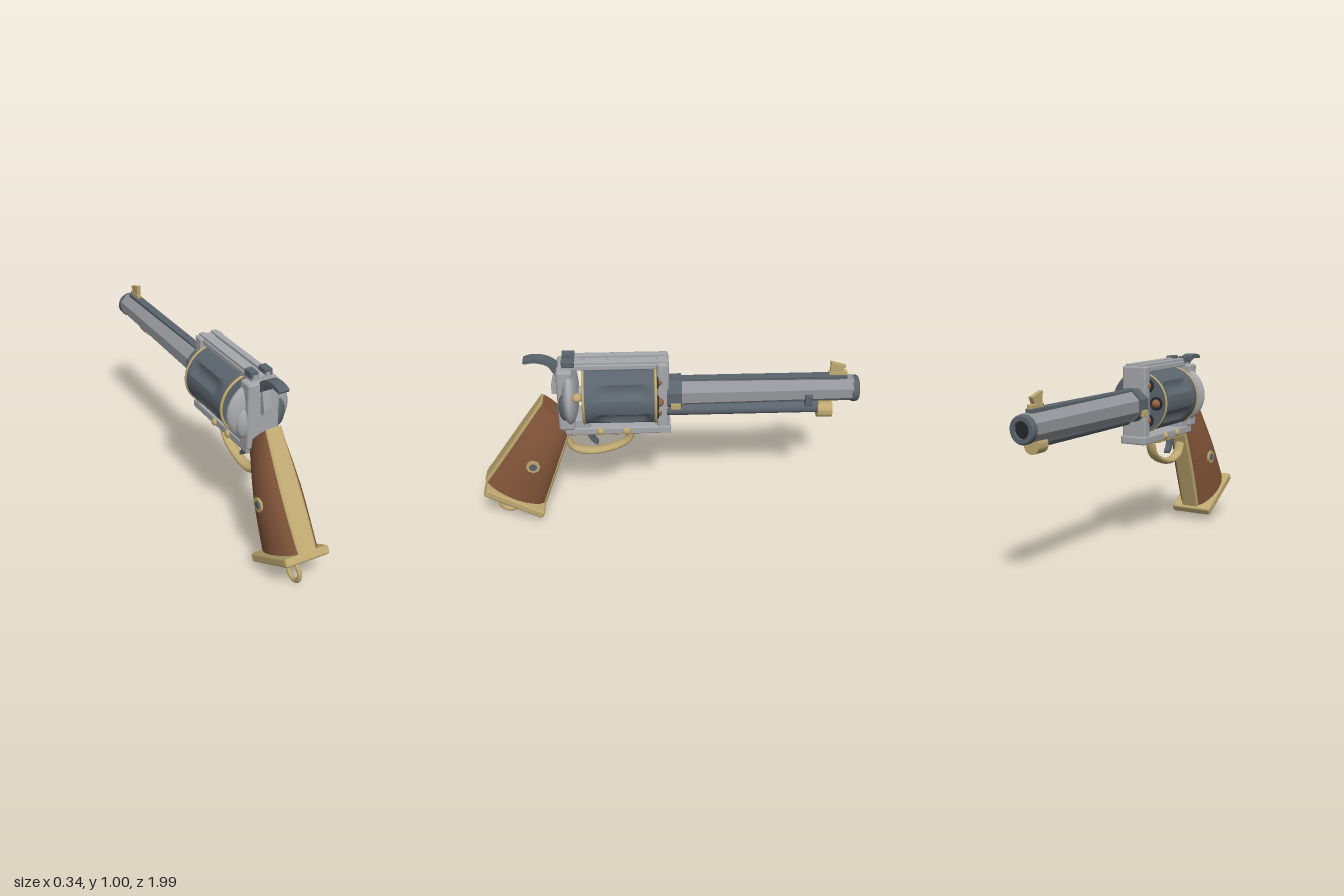
import * as THREE from 'three';
import { toCreasedNormals } from 'three/addons/utils/BufferGeometryUtils.js';
import { RoundedBoxGeometry } from 'three/addons/geometries/RoundedBoxGeometry.js';

const mat = (name, color) => Object.assign(new THREE.MeshStandardMaterial({ color }), { name });

export function createModel() {
  const steel = mat('light steel', 0xa6a8ac);
  const barrelSteel = mat('barrel steel', 0x94969b);
  const gunmetal = mat('gunmetal', 0x5b646d);
  const brass = mat('brass', 0xbfa971);
  const wood = mat('walnut', 0x83563a);
  const copper = mat('copper', 0x94603f);
  const black = mat('bore black', 0x25282c);
  const model = new THREE.Group();
  model.name = 'revolver';

  const add = (name, geo, material, x = 0, y = 0, z = 0) => {
    const m = new THREE.Mesh(geo, material);
    m.name = name;
    m.position.set(x, y, z);
    model.add(m);
    return m;
  };
  // Chamfered box given by its limits
  const box = (name, material, [x0, x1], [y0, y1], [z0, z1], r = 0.006) =>
    add(name, new RoundedBoxGeometry(x1 - x0, y1 - y0, z1 - z0, 1, r), material,
      (x0 + x1) / 2, (y0 + y1) / 2, (z0 + z1) / 2);
  // Cylinder along z, from zBack (radius r0) to zFront (radius r1)
  const rodZ = (name, material, r0, r1, zBack, zFront, x, y, sides = 24) => {
    const g = new THREE.CylinderGeometry(r1, r0, zBack - zFront, sides);
    g.rotateY(Math.PI / sides).rotateX(-Math.PI / 2);
    return add(name, toCreasedNormals(g, 0.7), material, x, y, (zBack + zFront) / 2);
  };
  const rodX = (name, material, r, len, x, y, z, sides = 16) =>
    add(name, new THREE.CylinderGeometry(r, r, len, sides).rotateZ(Math.PI / 2), material, x, y, z);
  const ball = (name, material, rx, ry, rz, x, y, z) =>
    add(name, new THREE.SphereGeometry(1, 32, 20).scale(rx, ry, rz), material, x, y, z);
  // Side outline of [z, y] points, extruded across x
  const slab = (name, material, pts, width, smooth = false) => {
    const v = pts.map(([z, y]) => new THREE.Vector2(z, y));
    const shape = smooth ? new THREE.Shape().moveTo(v[0].x, v[0].y).splineThru(v.slice(1)) : new THREE.Shape(v);
    const g = new THREE.ExtrudeGeometry(shape, { depth: width, bevelEnabled: false });
    g.rotateY(-Math.PI / 2).translate(width / 2, 0, 0);
    return add(name, toCreasedNormals(g, 0.7), material);
  };
  // Skin over closed rings of [x, y, z] points, capped at both ends
  const loft = (rings, crease = 0.7) => {
    const n = rings[0].length, pos = rings.flat(2), idx = [];
    for (let r = 0; r < rings.length - 1; r++)
      for (let i = 0; i < n; i++) {
        const a = r * n + i, b = r * n + (i + 1) % n;
        idx.push(a, b, a + n, b, b + n, a + n);
      }
    [0, rings.length - 1].forEach((r) => {
      const c = pos.length / 3;
      for (let k = 0; k < 3; k++) pos.push(rings[r].reduce((s, p) => s + p[k], 0) / n);
      for (let i = 0; i < n; i++) {
        const a = r * n + i, b = r * n + (i + 1) % n;
        idx.push(...(r ? [c, a, b] : [c, b, a]));
      }
    });
    // Turn the faces outward if the rings ran the other way
    const p = (i) => new THREE.Vector3(pos[3 * i], pos[3 * i + 1], pos[3 * i + 2]);
    let vol = 0;
    for (let i = 0; i < idx.length; i += 3) vol += p(idx[i]).dot(p(idx[i + 1]).cross(p(idx[i + 2])));
    if (vol < 0) idx.reverse();
    const g = new THREE.BufferGeometry();
    g.setAttribute('position', new THREE.Float32BufferAttribute(pos, 3));
    g.setIndex(idx);
    return toCreasedNormals(g, crease);
  };

  // Barrel, rib, muzzle and rear collar
  const by = 0.778;
  rodZ('barrel', barrelSteel, 0.08, 0.068, 0, -0.97, 0, by, 8);
  rodZ('barrelCollar', gunmetal, 0.092, 0.092, 0, -0.078, 0, by, 8);
  box('barrelRib', gunmetal, [-0.022, 0.022], [0.82, 0.862], [-0.935, 0], 0.004);
  const ring = [[0.042, -0.02], [0.062, -0.02], [0.068, -0.013], [0.068, 0.013], [0.062, 0.02], [0.042, 0.02], [0.042, -0.02]];
  add('muzzleRing', toCreasedNormals(new THREE.LatheGeometry(ring.map((p) => new THREE.Vector2(...p)), 32)
    .rotateX(-Math.PI / 2), 0.6), gunmetal, 0, 0.773, -0.98);
  rodZ('bore', black, 0.043, 0.043, -0.96, -0.985, 0, 0.773);

  // Front sight
  box('frontSightBase', brass, [-0.013, 0.013], [0.84, 0.88], [-0.935, -0.84], 0.003);
  slab('frontSightBlade', brass, [[-0.848, 0.875], [-0.845, 0.936], [-0.925, 0.912], [-0.905, 0.875]], 0.022);

  // Ejector tube beside the barrel
  rodZ('ejectorTube', gunmetal, 0.032, 0.032, 0, -0.79, 0.045, 0.695);
  rodZ('ejectorCap', brass, 0.043, 0.043, -0.785, -0.862, 0.047, 0.679);
  box('ejectorLatch', gunmetal, [0.05, 0.082], [0.71, 0.78], [-0.755, -0.715]);
  for (const s of [-1, 1]) box('collarPin', brass, [s * 0.085 - 0.01, s * 0.085 + 0.01], [0.722, 0.756], [-0.072, -0.02], 0.004);

  // Frame: top strap, front post, bottom rail, rear block
  box('topStrap', steel, [-0.056, 0.056], [0.945, 0.975], [-0.01, 0.53]);
  for (const s of [-1, 1]) {
    box('strapRail', steel, [s * 0.034 - 0.016, s * 0.034 + 0.016], [0.965, 0.99], [-0.005, 0.53], 0.004);
    box('rearSight', gunmetal, [s * 0.038 - 0.021, s * 0.038 + 0.021], [0.965, 1], [0.465, 0.53], 0.004);
  }
  box('frontPost', steel, [-0.07, 0.07], [0.565, 0.98], [-0.012, 0.05], 0.012);
  box('bottomRail', steel, [-0.075, 0.075], [0.562, 0.605], [-0.022, 0.53], 0.008);
  box('lowerRearFrame', steel, [-0.07, 0.07], [0.58, 0.655], [0.4, 0.54], 0.008);
  box('rearFrame', steel, [-0.088, 0.088], [0.6, 0.955], [0.475, 0.56], 0.014);
  for (const z of [0.21, 0.345]) for (const s of [-1, 1]) ball('frameScrew', brass, 0.014, 0.02, 0.02, s * 0.076, 0.583, z);

  // Recoil shield, gate and its catch
  ball('recoilShield', steel, 0.17, 0.163, 0.047, 0, 0.782, 0.497);
  ball('loadingGate', gunmetal, 0.042, 0.08, 0.032, 0.094, 0.755, 0.522);
  ball('shieldBoss', steel, 0.04, 0.08, 0.032, -0.092, 0.74, 0.522);
  ball('gateCatch', brass, 0.025, 0.025, 0.025, 0.132, 0.833, 0.455);

  // Fluted cylinder with six chambers
  const cy = 0.78;
  const smooth = (a, b, t) => THREE.MathUtils.smoothstep(t, a, b);
  const drum = [];
  for (let j = 0; j <= 20; j++) {
    const z = 0.05 + 0.38 * j / 20, depth = 0.022 * smooth(0.07, 0.13, z) * (1 - smooth(0.3, 0.39, z));
    drum.push(Array.from({ length: 96 }, (_, i) => {
      const a = i / 96 * Math.PI * 2;
      const r = 0.16 - depth * Math.max(0, -Math.cos(6 * a)) ** 0.8;
      return [r * Math.cos(a), cy + r * Math.sin(a), z];
    }));
  }
  add('cylinder', loft(drum), gunmetal);
  for (const z of [0.058, 0.425]) add('cylinderBand', new THREE.TorusGeometry(0.159, 0.0075, 8, 64), brass, 0, cy, z);
  for (let i = 0; i < 6; i++) {
    const a = i * Math.PI / 3, x = 0.107 * Math.cos(a), y = cy + 0.107 * Math.sin(a);
    rodZ('chamber', black, 0.036, 0.036, 0.055, 0.042, x, y);
    ball('bullet', copper, 0.025, 0.025, 0.032, x, y, 0.048);
  }
  rodZ('cylinderPin', steel, 0.035, 0.035, 0.5, 0, 0, cy);

  // Hammer
  slab('hammerSpur', gunmetal, [[0.72, 0.972], [0.722, 0.987], [0.68, 1], [0.625, 0.997], [0.575, 0.975], [0.535, 0.93],
    [0.545, 0.9], [0.572, 0.915], [0.6, 0.957], [0.64, 0.974], [0.68, 0.978]], 0.056, true);
  slab('hammerBody', steel, [[0.55, 0.79], [0.59, 0.79], [0.592, 0.83], [0.572, 0.92], [0.55, 0.92]], 0.044);

  // Trigger and guard
  box('guardPlate', brass, [-0.055, 0.055], [0.546, 0.565], [0.17, 0.51], 0.004);
  const path = [[0.178, 0.555], [0.182, 0.525], [0.208, 0.475], [0.29, 0.43], [0.41, 0.408], [0.495, 0.433], [0.53, 0.49]];
  const curve = new THREE.CatmullRomCurve3(path.map(([z, y]) => new THREE.Vector3(0, y, z)));
  add('triggerGuard', new THREE.TubeGeometry(curve, 40, 0.018, 12).scale(1.6, 1, 1), brass);
  slab('trigger', gunmetal, [[0.425, 0.56], [0.42, 0.52], [0.395, 0.475], [0.37, 0.455], [0.363, 0.468], [0.383, 0.5], [0.392, 0.56]], 0.032, true);

  // Grip: swelling wood between two brass straps
  const back = (t) => [0.64 + 0.335 * t, 0.745 - 0.5 * t];
  const front = (t) => [0.505 + 0.175 * t, 0.6 - 0.51 * t];
  const strapW = (t) => 0.043 + 0.012 * Math.sin(Math.PI * Math.min(1, t * 0.75));
  const steps = Array.from({ length: 11 }, (_, i) => i / 10);
  add('gripWood', loft(steps.map((t) => {
    const [bz, byy] = back(t), [fz, fy] = front(t), s = strapW(t);
    const w = 0.062 + 0.049 * Math.sin(Math.min(1, t * 1.5) * Math.PI / 2);
    const half = Array.from({ length: 15 }, (_, i) => i / 14).map((u) =>
      [s + (w - s) * Math.sin(Math.PI * u) ** 0.65, byy + (fy - byy) * u, bz + (fz - bz) * u]);
    return [...half, ...half.map(([x, y, z]) => [-x, y, z]).reverse()];
  })), wood);
  const strap = (name, edge, other) => add(name, loft(steps.map((t) => {
    const [z, y] = edge(t), [oz, oy] = other(t), s = strapW(t), l = Math.hypot(z - oz, y - oy);
    const at = (x, d) => [x, y + (y - oy) / l * d, z + (z - oz) / l * d];
    return [at(s, -0.012), at(s, 0.006), at(s * 0.8, 0.014), at(-s * 0.8, 0.014), at(-s, 0.006), at(-s, -0.012)];
  }), 0.4), brass);
  strap('backStrap', back, front);
  strap('frontStrap', front, back);
  for (const s of [-1, 1]) {
    rodX('medallionRim', brass, 0.038, 0.03, s * 0.102, 0.388, 0.712, 8);
    rodX('medallion', gunmetal, 0.021, 0.03, s * 0.105, 0.388, 0.712);
  }

  // Butt plate and lanyard ring
  const butt = add('buttPlate', new RoundedBoxGeometry(0.246, 0.046, 0.352, 1, 0.012), brass, 0, 0.138, 0.833);
  butt.rotation.x = -0.51;
  ball('lanyardBoss', brass, 0.024, 0.02, 0.024, 0, 0.108, 0.862);
  add('lanyardRing', new THREE.TorusGeometry(0.051, 0.0125, 10, 32).rotateY(Math.PI / 2), brass, 0, 0.064, 0.877);

  return model;
}
